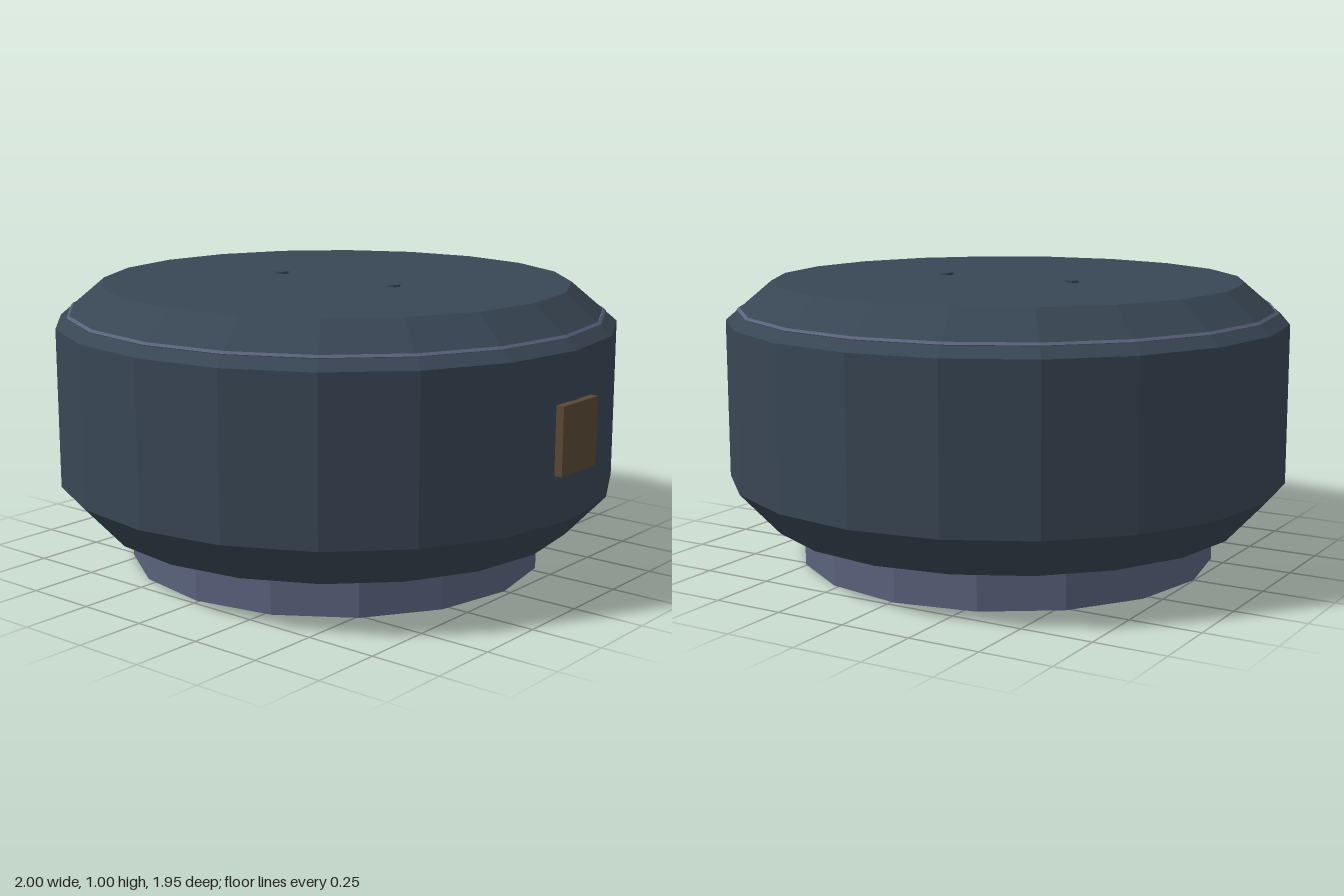
import * as THREE from 'three';

function material(name, color) {
  const m = new THREE.MeshStandardMaterial({ color });
  m.name = name;
  return m;
}

// Faceted solid of revolution; profile is [radius, y] from bottom to top
function turned(name, profile, sides, mat) {
  const points = profile.map(([r, y]) => new THREE.Vector2(r, y));
  const geometry = new THREE.LatheGeometry(points, sides).toNonIndexed();
  geometry.computeVertexNormals();
  const mesh = new THREE.Mesh(geometry, mat);
  mesh.name = name;
  return mesh;
}

export function createModel() {
  const slate = material('dark slate', 0x384654);
  const steel = material('blue grey steel', 0x59627c);
  const brown = material('brown', 0x5a4834);

  const model = new THREE.Group();
  model.name = 'roundCanister';

  // Round parts share a slightly oval footprint
  const drum = new THREE.Group();
  drum.name = 'drum';
  drum.position.x = -0.011;
  drum.scale.z = 0.988;
  model.add(drum);

  // Bevelled body
  drum.add(turned('body', [
    [0, 0.153], [0.85, 0.153], [0.989, 0.302], [0.989, 0.857], [0.828, 0.992], [0, 0.992],
  ], 20, slate));

  // Foot
  drum.add(turned('base', [[0, 0], [0.737, 0], [0.737, 0.16], [0, 0.16]], 16, steel));

  // Thin seam ring on the upper bevel
  drum.add(turned('seamRing', [
    [0.948, 0.889], [0.951, 0.893], [0.942, 0.901], [0.937, 0.898],
  ], 20, steel));

  // Two small studs on the lid
  for (const side of [-1, 1]) {
    const stud = turned('lidStud', [[0.026, 0.985], [0.026, 1.0], [0, 1.0]], 10, slate);
    stud.position.x = side * 0.254;
    drum.add(stud);
  }

  // Side plate
  const plate = new THREE.Mesh(new THREE.BoxGeometry(0.028, 0.23, 0.206), brown);
  plate.name = 'sidePlate';
  plate.position.set(0.986, 0.581, 0);
  model.add(plate);

  return model;
}
